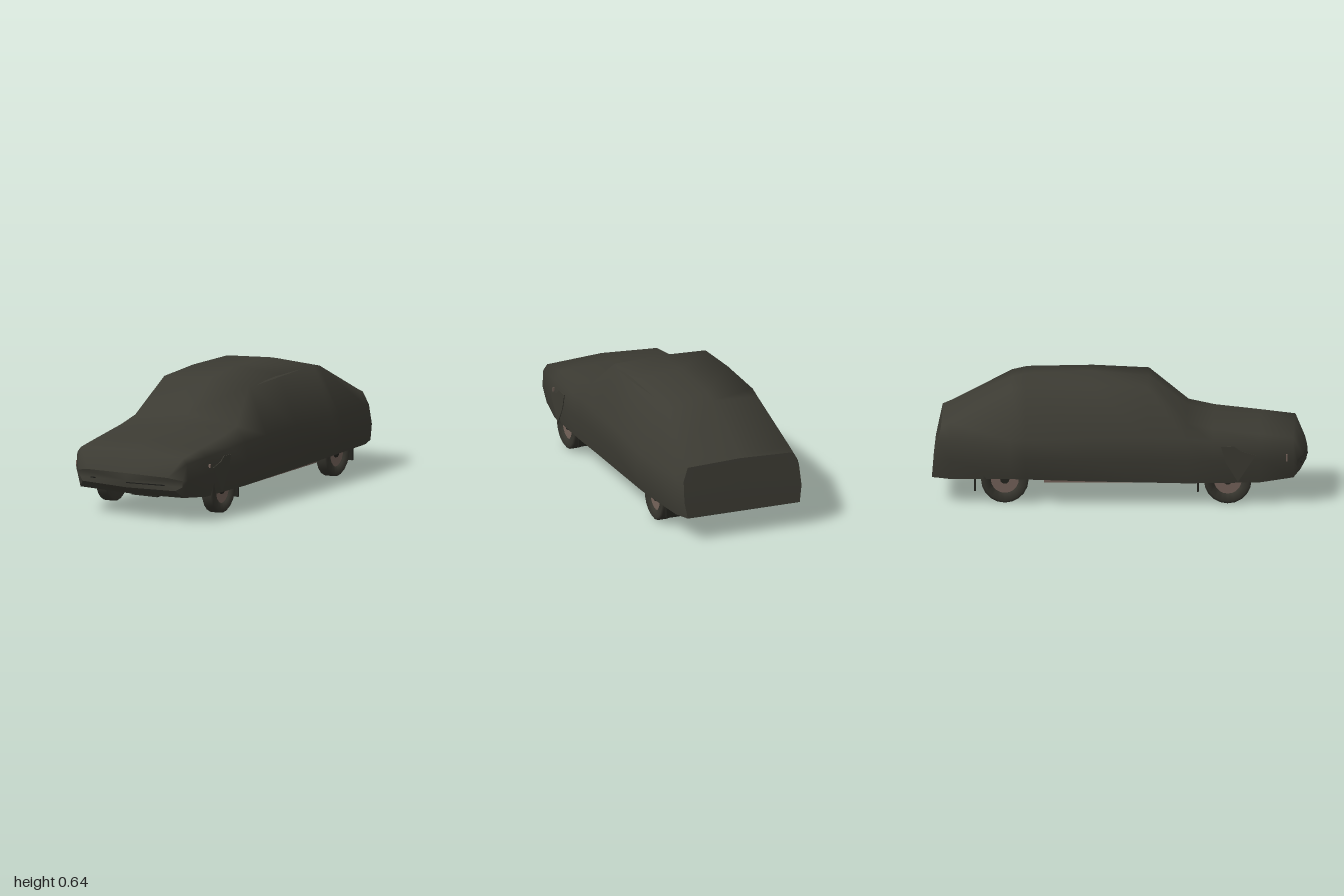
import * as THREE from 'three';

const mat = (name, color, side = THREE.FrontSide) =>
  Object.assign(new THREE.MeshStandardMaterial({ color, side }), { name });

export function createModel() {
  const cover = mat('cover cloth', 0x3c3b33, THREE.DoubleSide);
  const under = mat('underbody', 0x24241f);
  const rubber = mat('tyre rubber', 0x35342d);
  const metal = mat('bare metal', 0x75635a);
  const rust = mat('rusty exhaust', 0x5c3029);
  const crease = mat('dark crease', 0x1c1c19);

  const car = new THREE.Group();
  car.name = 'coveredCar';
  const add = (name, geo, material, x = 0, y = 0, z = 0, parent = car) => {
    const m = new THREE.Mesh(geo, material);
    m.name = name;
    m.position.set(x, y, z);
    parent.add(m);
    return m;
  };
  const box = (name, w, h, d, material, x, y, z) =>
    add(name, new THREE.BoxGeometry(w, h, d), material, x, y, z);
  const rod = (name, r, a, b, material, sides = 8) => {
    const p = new THREE.Vector3(...a), q = new THREE.Vector3(...b);
    const m = add(name, new THREE.CylinderGeometry(r, r, p.distanceTo(q), sides), material);
    m.position.copy(p).lerp(q, 0.5);
    m.quaternion.setFromUnitVectors(new THREE.Vector3(0, 1, 0), q.sub(p).normalize());
    return m;
  };

  // Cover stations: z, then half-width and height from hem to roof edge, then ridge height
  const stations = [
    [0.998, 0.29, 0.175, 0.325, 0.195, 0.325, 0.23, 0.25, 0.245, 0.25],
    [0.93, 0.325, 0.135, 0.35, 0.23, 0.345, 0.32, 0.322, 0.35, 0.368],
    [0.75, 0.365, 0.115, 0.38, 0.24, 0.365, 0.33, 0.325, 0.372, 0.39],
    [0.5, 0.385, 0.115, 0.405, 0.24, 0.385, 0.34, 0.33, 0.40, 0.425],
    [0.36, 0.382, 0.112, 0.40, 0.24, 0.385, 0.35, 0.325, 0.43, 0.465],
    [0.15, 0.378, 0.115, 0.397, 0.24, 0.385, 0.35, 0.27, 0.61, 0.62],
    [-0.15, 0.378, 0.12, 0.398, 0.24, 0.385, 0.35, 0.27, 0.622, 0.645],
    [-0.5, 0.382, 0.13, 0.407, 0.24, 0.386, 0.34, 0.266, 0.614, 0.63],
    [-0.58, 0.382, 0.132, 0.405, 0.24, 0.382, 0.34, 0.26, 0.597, 0.611],
    [-0.9, 0.352, 0.125, 0.368, 0.23, 0.355, 0.335, 0.305, 0.422, 0.437],
    [-0.95, 0.325, 0.13, 0.34, 0.22, 0.335, 0.33, 0.305, 0.40, 0.41],
  ];
  // The cloth is pulled in a little at the front of the left side
  const pull = z => (z > 0.5 ? 0.93 + (z - 0.5) * 0.11 : 1 - 0.07 * Math.max(0, z + 0.5));
  const rings = stations.map((s, i) => {
    const right = [], left = [];
    for (let k = 1; k < 9; k += 2) {
      const [w, y] = [s[k], s[k + 1]];
      let z = s[0];
      if (i === 0) z -= 0.05 * (w / 0.33) ** 4;
      if (i === stations.length - 1) z -= 0.05 * Math.min(1, (0.41 - y) / 0.24);
      left.push([w * pull(s[0]), y, z]);
      right.unshift([-w, y, z]);
    }
    return [...left, [0, s[9], s[0]], ...right];
  });
  const n = rings[0].length;
  const surface = (points, index) => {
    const g = new THREE.BufferGeometry();
    g.setAttribute('position', new THREE.Float32BufferAttribute(points.flat(), 3));
    g.setIndex(index);
    g.computeVertexNormals();
    return g;
  };
  const skin = [];
  for (let i = 0; i < rings.length - 1; i++)
    for (let j = 0; j < n - 1; j++) {
      const a = i * n + j, c = a + n;
      skin.push(a, c, a + 1, a + 1, c, c + 1);
    }
  add('coverBody', surface(rings.flat(), skin), cover);

  // End panels of the cover, as fans around a centre point
  const cap = (name, ring, centre, flip) => {
    const count = ring.length, idx = [];
    for (let j = 0; j < count; j++) {
      const k = (j + 1) % count;
      idx.push(count, flip ? k : j, flip ? j : k);
    }
    add(name, surface([...ring, centre], idx), cover);
  };
  const chin = [0, 0.172, 0.994];
  cap('coverNose', [...rings[0], chin], [0, 0.21, 1.0], false);
  cap('coverTail', rings[rings.length - 1], [0, 0.27, -0.979], true);
  // Hem tucked under the nose
  add('noseHem', surface([rings[0][0], chin, rings[0][n - 1],
    rings[1][0], [0, 0.124, 0.92], rings[1][n - 1]],
  [0, 1, 3, 1, 4, 3, 1, 2, 4, 2, 5, 4]), cover);

  // Loose folds over the front wheels
  const fold = new THREE.Shape([[-0.73, 0.27], [-0.65, 0.292], [-0.615, 0.318],
    [-0.545, 0.315], [-0.57, 0.23], [-0.635, 0.125]].map(p => new THREE.Vector2(...p)));
  const foldGeo = new THREE.ExtrudeGeometry(fold, { depth: 0.004, bevelEnabled: false });
  for (const [name, x] of [['leftFold', 0.377], ['rightFold', -0.404]])
    add(name, foldGeo, cover, x).rotation.y = Math.PI / 2;

  // Roof-side fold and small gaps in the nose
  add('roofFold', surface([[0.262, 0.612, -0.48], [0.284, 0.615, -0.15], [0.272, 0.605, 0.1],
    [0.255, 0.618, -0.1]], [0, 1, 3, 1, 2, 3]), cover);
  box('noseSlit', 0.22, 0.005, 0.008, crease, 0.11, 0.2, 0.984).rotation.y = 0.14;
  box('noseSlit', 0.03, 0.005, 0.008, crease, -0.225, 0.201, 0.968).rotation.y = -0.16;
  box('lampGap', 0.022, 0.036, 0.008, metal, -0.36, 0.25, 0.895);
  box('lampGap', 0.008, 0.02, 0.01, metal, 0.362, 0.28, 0.735);

  // Wheels with hubs and mud flaps
  const tyreProfile = [[0.075, -0.03], [0.115, -0.036], [0.127, -0.027], [0.127, 0.027],
    [0.115, 0.036], [0.075, 0.03], [0.075, -0.03]].map(p => new THREE.Vector2(...p));
  const tyreGeo = new THREE.LatheGeometry(tyreProfile, 20);
  const rimGeo = new THREE.CylinderGeometry(0.077, 0.077, 0.04, 16);
  const hubGeo = new THREE.CylinderGeometry(0.025, 0.03, 0.054, 10);
  for (const z of [0.58, -0.61])
    for (const s of [1, -1]) {
      const wheel = new THREE.Group();
      wheel.name = 'wheel';
      wheel.position.set(s > 0 ? 0.323 : -0.336, 0.127, z);
      wheel.rotation.z = -s * Math.PI / 2;
      add('tyre', tyreGeo, rubber, 0, 0, 0, wheel);
      add('rim', rimGeo, metal, 0, 0, 0, wheel);
      add('hub', hubGeo, under, 0, 0, 0, wheel);
      car.add(wheel);
      box('mudFlap', 0.11, 0.08, 0.01, under, s * 0.298, 0.1, z - 0.16);
    }

  // Floor and frame
  box('floor', 0.56, 0.02, 1.76, under, 0, 0.15, 0);
  box('midFloor', 0.68, 0.02, 0.84, under, 0, 0.132, -0.02);
  box('tunnel', 0.12, 0.02, 0.8, under, 0, 0.118, 0.05);
  for (const s of [1, -1]) {
    box('sill', 0.015, 0.02, 0.8, metal, s * 0.34, 0.118, 0);
    box('frameRail', 0.04, 0.03, 1.5, under, s * 0.2, 0.13, 0.05);
    rod('frontArm', 0.013, [s * 0.12, 0.11, 0.66], [s * 0.31, 0.1, 0.58], under);
    rod('rearArm', 0.012, [s * 0.25, 0.12, -0.3], [s * 0.25, 0.11, -0.61], under);
  }
  box('frontCrossmember', 0.46, 0.035, 0.06, under, 0, 0.108, 0.62);
  box('oilPan', 0.16, 0.05, 0.22, under, 0, 0.12, 0.7);
  box('gearbox', 0.11, 0.04, 0.26, under, 0, 0.115, 0.4);
  box('centreBrace', 0.4, 0.008, 0.025, metal, 0, 0.086, 0.42);

  // Rear axle, driveshaft, tank and exhaust
  rod('rearAxle', 0.022, [-0.31, 0.125, -0.61], [0.31, 0.125, -0.61], under, 10);
  add('differential', new THREE.SphereGeometry(0.038, 12, 8), under, 0, 0.125, -0.61);
  rod('driveshaft', 0.013, [0, 0.115, 0.28], [0, 0.12, -0.6], under);
  box('fuelTank', 0.26, 0.02, 0.12, rust, 0.02, 0.133, -0.48);
  box('rearBrace', 0.32, 0.02, 0.025, metal, -0.1, 0.132, -0.78);
  rod('exhaustPipe', 0.009, [0.06, 0.115, 0.5], [0.1, 0.12, -0.85], under);
  rod('silencer', 0.026, [0.06, 0.122, 0.2], [0.07, 0.122, 0.03], rust, 10);
  box('rearSilencer', 0.1, 0.025, 0.15, rust, 0.19, 0.14, -0.83);
  return car;
}
